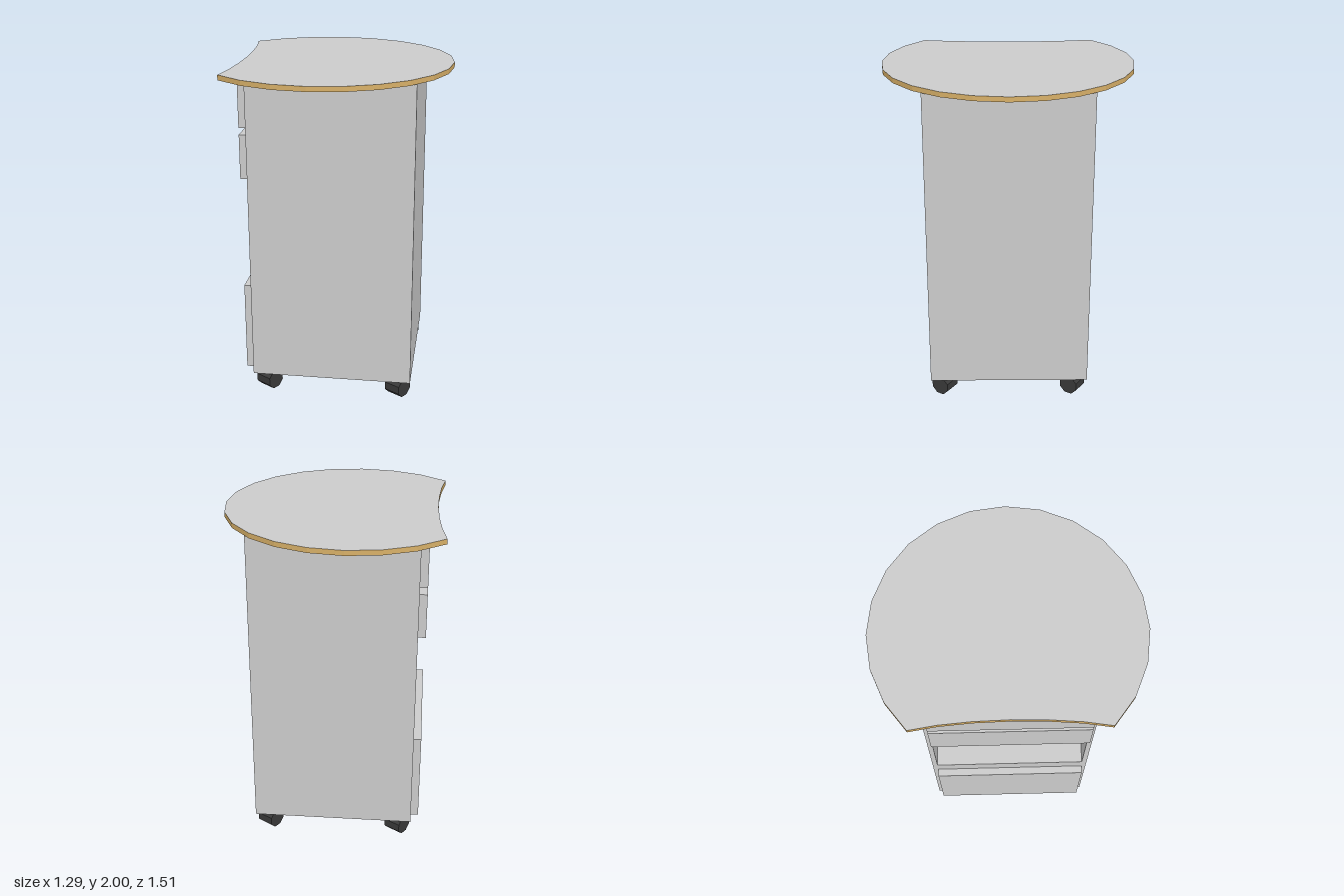
import * as THREE from 'three';

const grey = new THREE.MeshStandardMaterial({ color: 0xcccccc, flatShading: true });
const wood = new THREE.MeshStandardMaterial({ color: 0xd8b068, flatShading: true });
const black = new THREE.MeshStandardMaterial({ color: 0x3a3a3a, flatShading: true });

// Box given by its lower and upper limits on each axis
function box(name, [x0, x1], [y0, y1], [z0, z1]) {
  const mesh = new THREE.Mesh(new THREE.BoxGeometry(x1 - x0, y1 - y0, z1 - z0), grey);
  mesh.position.set((x0 + x1) / 2, (y0 + y1) / 2, (z0 + z1) / 2);
  mesh.name = name;
  return mesh;
}

function rectangle(Type, halfWidth, y0, y1) {
  return new Type([[-halfWidth, y0], [halfWidth, y0], [halfWidth, y1], [-halfWidth, y1]]
    .map(([a, b]) => new THREE.Vector2(a, b)));
}

// Cabinet body with an open shelf bay on the drawer side
function makeCabinet() {
  const cabinet = new THREE.Group();
  cabinet.name = 'cabinet';
  const outline = rectangle(THREE.Shape, 0.485, 0.12, 1.97);
  outline.holes.push(rectangle(THREE.Path, 0.455, 0.8, 1.36));
  const geometry = new THREE.ExtrudeGeometry(outline, { depth: 0.94, bevelEnabled: false });
  geometry.rotateY(Math.PI / 2).translate(-0.51, 0, 0);
  const carcass = new THREE.Mesh(geometry, grey);
  carcass.name = 'carcass';
  cabinet.add(carcass, box('backPanel', [0.43, 0.46], [0.12, 1.97], [-0.485, 0.485]));
  return cabinet;
}

// Round worktop with a shallow concave cut above the drawers
function makeWorktop() {
  const radius = 0.757, centre = -0.11, step = Math.PI / 12;
  const points = [];
  for (let i = -9; i <= 9; i++) {
    points.push(new THREE.Vector2(centre + radius * Math.cos(i * step), radius * Math.sin(i * step)));
  }
  for (let i = 2; i >= -2; i--) {
    const sag = 0.2 * radius * (1 - Math.cos(i * step));
    points.push(new THREE.Vector2(-0.6 - sag, radius * Math.sin(i * step)));
  }
  const geometry = new THREE.ExtrudeGeometry(new THREE.Shape(points), { depth: 0.03, bevelEnabled: false });
  geometry.rotateX(-Math.PI / 2).translate(0, 1.97, 0);
  const worktop = new THREE.Mesh(geometry, [grey, wood]);
  worktop.name = 'worktop';
  return worktop;
}

export function createModel() {
  const model = new THREE.Group();
  model.name = 'rollingDrawerCabinet';
  model.add(makeCabinet(), makeWorktop());

  // Drawer fronts
  const drawers = [
    ['topDrawer', [1.68, 1.95]],
    ['middleDrawer', [1.375, 1.64]],
    ['bottomDrawer', [0.155, 0.7]],
  ];
  for (const [name, height] of drawers) {
    model.add(box(name, [-0.555, -0.51], height, [-0.455, 0.46]));
  }

  // Octagonal casters, all swivelled the same way
  const roller = new THREE.CylinderGeometry(0.062, 0.062, 0.108, 8);
  roller.rotateY(Math.PI / 8).rotateZ(Math.PI / 2).rotateY(-0.58);
  for (const x of [-0.425, 0.378]) {
    for (const z of [-0.4, 0.403]) {
      const caster = new THREE.Mesh(roller, black);
      caster.position.set(x, 0.06, z);
      caster.name = 'caster';
      model.add(caster);
    }
  }
  return model;
}
